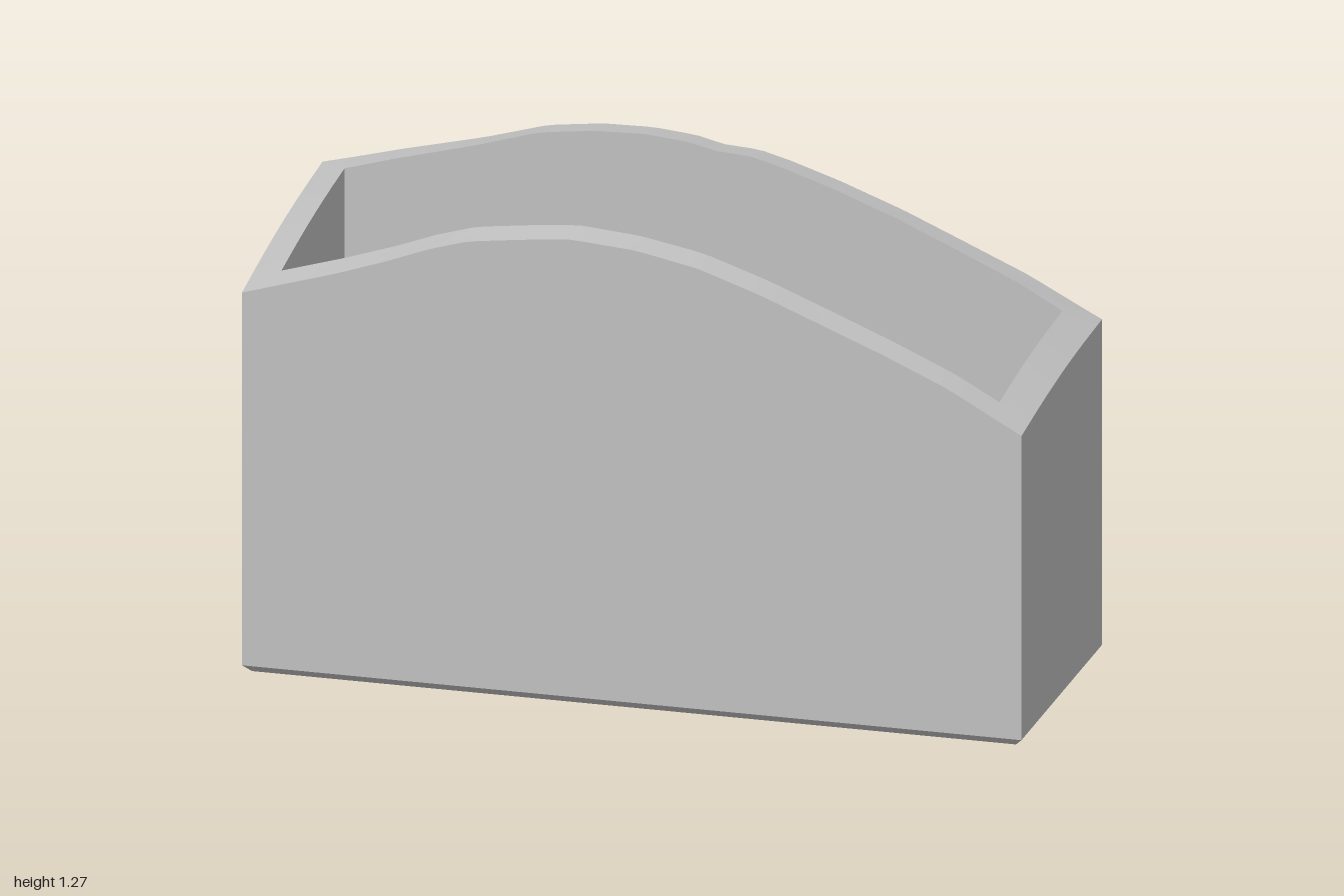
import * as THREE from 'three';
import { toCreasedNormals } from 'three/addons/utils/BufferGeometryUtils.js';

const HALF_X = 1, HALF_Z = 0.363, WALL = 0.079, CHAMFER = 0.02;

// Height of the arched rim along the front and back walls, as [x, y]
const FRONT = [[-1, 0.997], [-0.76, 1.07], [-0.63, 1.115], [-0.52, 1.158], [-0.42, 1.188], [-0.28, 1.206],
  [-0.16, 1.219], [0.01, 1.206], [0.17, 1.174], [0.33, 1.12], [0.49, 1.056], [0.65, 0.992], [0.81, 0.922], [1, 0.817]];
const BACK = [[-1, 1.09], [-0.79, 1.152], [-0.58, 1.206], [-0.42, 1.254], [-0.28, 1.272], [-0.15, 1.275], [-0.04, 1.265],
  [0.03, 1.248], [0.12, 1.243], [0.2, 1.222], [0.33, 1.18], [0.49, 1.12], [0.65, 1.05], [0.81, 0.978], [1, 0.873]];

function sample(table, x) {
  let i = 1;
  while (i < table.length - 1 && x > table[i][0]) i++;
  const [x0, y0] = table[i - 1], [x1, y1] = table[i];
  return THREE.MathUtils.lerp(y0, y1, THREE.MathUtils.clamp((x - x0) / (x1 - x0), 0, 1));
}

// Rim surface: blends front to back with a slight bulge and a soft outer back edge
function rimHeight(x, z) {
  const t = (HALF_Z - z) / (2 * HALF_Z);
  const drop = 0.011 * Math.max(0, (-z - HALF_Z + WALL) / WALL) * (1 - x ** 4);
  return THREE.MathUtils.lerp(sample(FRONT, x), sample(BACK, x), t) + 0.012 * Math.sin(Math.PI * t) - drop;
}

// Wall cross-sections swept around the rectangular plan
function wallGeometry() {
  const corners = [[1, 1], [1, -1], [-1, -1], [-1, 1]];
  const sections = [];
  corners.forEach((a, k) => {
    const b = corners[(k + 1) % 4];
    const steps = k % 2 ? 60 : 16;
    for (let i = 0; i < steps; i++) {
      const u = THREE.MathUtils.lerp(a[0], b[0], i / steps);
      const v = THREE.MathUtils.lerp(a[1], b[1], i / steps);
      const point = (inset, y) => {
        const x = u * (HALF_X - inset), z = v * (HALF_Z - inset);
        return [x, y ?? rimHeight(x, z), z];
      };
      sections.push([point(CHAMFER, 0), point(0, CHAMFER), point(0), point(WALL), point(WALL, 0)]);
    }
  });
  const positions = [];
  sections.forEach((s, i) => {
    const n = sections[(i + 1) % sections.length];
    s.forEach((a, p) => {
      const q = (p + 1) % s.length;
      positions.push(...a, ...n[p], ...n[q], ...a, ...n[q], ...s[q]);
    });
  });
  const geometry = new THREE.BufferGeometry();
  geometry.setAttribute('position', new THREE.Float32BufferAttribute(positions, 3));
  return toCreasedNormals(geometry, 0.5);
}

export function createModel() {
  const group = new THREE.Group();
  group.name = 'archedFrame';
  const grey = new THREE.MeshStandardMaterial({ color: 0xc0c0c0 });
  grey.name = 'light grey';
  const walls = new THREE.Mesh(wallGeometry(), grey);
  walls.name = 'hollowWalls';
  group.add(walls);
  return group;
}
